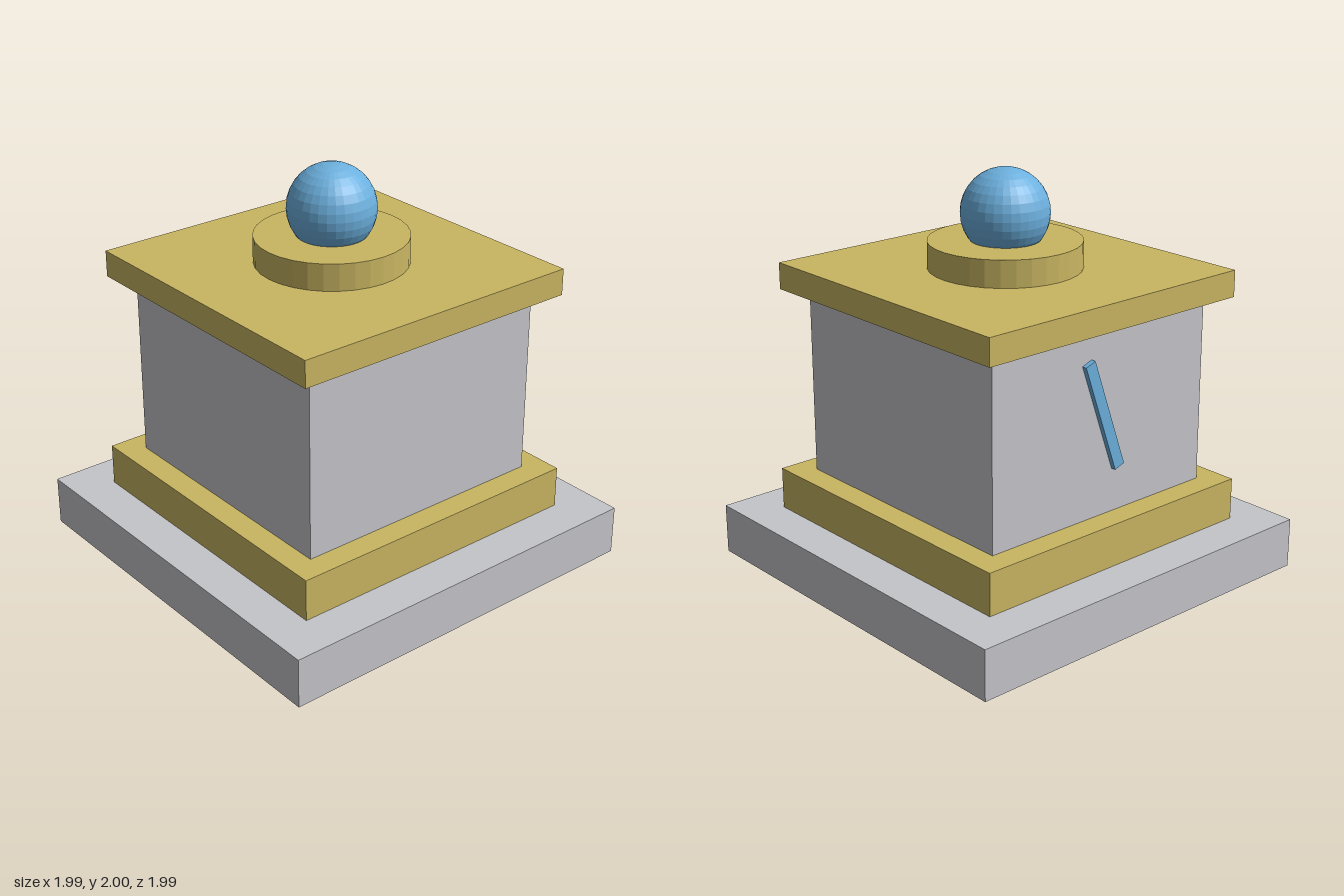
import * as THREE from 'three';

export function createModel() {
  const model = new THREE.Group();
  model.name = 'pedestal';

  const material = (name, color, flatShading = false) => {
    const m = new THREE.MeshStandardMaterial({ color, flatShading });
    m.name = name;
    return m;
  };
  const stone = material('grey stone', 0xc4c5ca);
  const gold = material('gold', 0xc9b662, true);
  const blue = material('blue', 0x6cb0de, true);

  const add = (name, geometry, mat, y) => {
    const mesh = new THREE.Mesh(geometry, mat);
    mesh.name = name;
    mesh.position.y = y;
    model.add(mesh);
    return mesh;
  };

  // Square tiers: name, half width, bottom, top, material
  const tiers = [
    ['base', 0.996, 0, 0.25, stone],
    ['lowerTrim', 0.787, 0.25, 0.46, gold],
    ['body', 0.664, 0.46, 1.39, stone],
    ['cap', 0.765, 1.39, 1.522, gold],
  ];
  for (const [name, half, bottom, top, mat] of tiers) {
    add(name, new THREE.BoxGeometry(half * 2, top - bottom, half * 2), mat, (bottom + top) / 2);
  }

  // Round collar carrying the ball
  add('collar', new THREE.CylinderGeometry(0.371, 0.371, 0.133, 32), gold, 1.5885);
  add('ball', new THREE.SphereGeometry(0.214, 32, 16), blue, 1.786);

  // Slanted bar on the back of the body
  const bar = add('backBar', new THREE.BoxGeometry(0.06, 0.58, 0.05), blue, 0.958);
  bar.position.z = -0.664;
  bar.rotation.z = -Math.PI / 9;

  return model;
}
